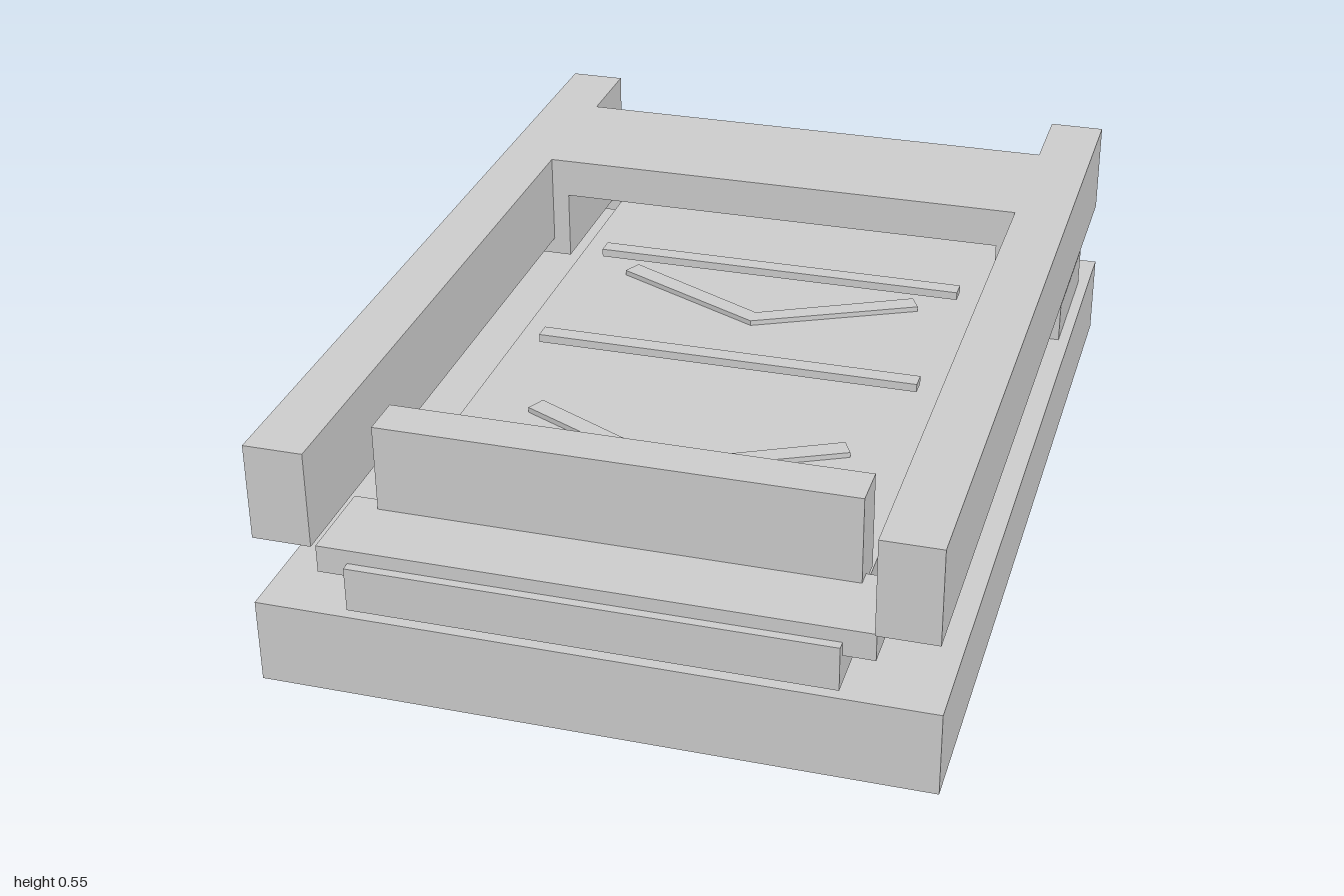
import * as THREE from 'three';

const material = new THREE.MeshStandardMaterial({ color: 0xcccccc, flatShading: true });

export function createModel() {
  const model = new THREE.Group();
  model.name = 'slidingFrame';

  // Box given by its limits on each axis
  function box(name, x0, x1, y0, y1, z0, z1) {
    const mesh = new THREE.Mesh(new THREE.BoxGeometry(x1 - x0, y1 - y0, z1 - z0), material);
    mesh.position.set((x0 + x1) / 2, (y0 + y1) / 2, (z0 + z1) / 2);
    mesh.name = name;
    model.add(mesh);
    return mesh;
  }

  // Base slab and the tray plate held just above it
  box('base', -0.7, 0.7, 0, 0.185, -1, 1);
  box('trayPlate', -0.5, 0.5, 0.203, 0.3, -1, 1);

  // Spacers and cross pieces at both ends of the tray
  for (const s of [-1, 1]) {
    const [a, b] = s > 0 ? [0.87, 0.975] : [-0.975, -0.87];
    box('spacer', -0.475, 0.475, 0.185, 0.203, a, b);
    const [c, d] = s > 0 ? [0.785, 0.98] : [-0.98, -0.795];
    box('endCrossPiece', -0.565, 0.565, 0.27, 0.33, c, d);
  }

  // Low ridges on the base, under the tray
  for (const z of [0.13, -0.3]) {
    const profile = new THREE.Shape([
      new THREE.Vector2(-0.03, 0), new THREE.Vector2(0.03, 0), new THREE.Vector2(0, 0.014)]);
    const ridge = new THREE.Mesh(
      new THREE.ExtrudeGeometry(profile, { depth: 0.95, bevelEnabled: false }), material);
    ridge.rotation.y = Math.PI / 2;
    ridge.position.set(-0.475, 0.183, z);
    ridge.name = 'ridge';
    model.add(ridge);
  }

  // Upper frame: side rails, legs and bridge
  for (const s of [-1, 1]) {
    const side = (name, a, b, ...rest) => box(name, s > 0 ? a : -b, s > 0 ? b : -a, ...rest);
    side('sideRail', 0.565, 0.69, 0.34, 0.55, -1, 1);
    side('bridgeLeg', 0.525, 0.565, 0.3, 0.46, -0.8, -0.455);
    side('railFoot', 0.565, 0.65, 0.3, 0.34, -0.8, -0.455);
  }
  box('bridge', -0.565, 0.565, 0.46, 0.55, -0.8, -0.455);

  // Upright front bar
  box('frontBar', -0.5, 0.5, 0.31, 0.52, 0.725, 0.82);

  // Slats across the tray
  for (const z of [-0.47, -0.005, 0.47]) box('slat', -0.44, 0.44, 0.309, 0.328, z - 0.02, z + 0.02);

  // Flat chevrons on the tray; each is open towards the back
  const chevronShape = new THREE.Shape([
    [-0.36, 0.175], [-0.34, 0.215], [0, 0.045], [0.34, 0.215], [0.36, 0.175], [0, 0],
  ].map(([x, y]) => new THREE.Vector2(x, y)));
  for (const z of [-0.21, 0.49]) {
    const chevron = new THREE.Mesh(
      new THREE.ExtrudeGeometry(chevronShape, { depth: 0.012, bevelEnabled: false }), material);
    chevron.rotation.x = -Math.PI / 2;
    chevron.position.set(0, 0.3, z);
    chevron.name = 'chevron';
    model.add(chevron);
  }

  // Side box with a thin lid, on the model's left
  box('sideBox', 0.475, 0.675, 0.185, 0.275, -0.87, -0.55);
  box('sideBoxLid', 0.52, 0.655, 0.275, 0.285, -0.85, -0.57);

  return model;
}
